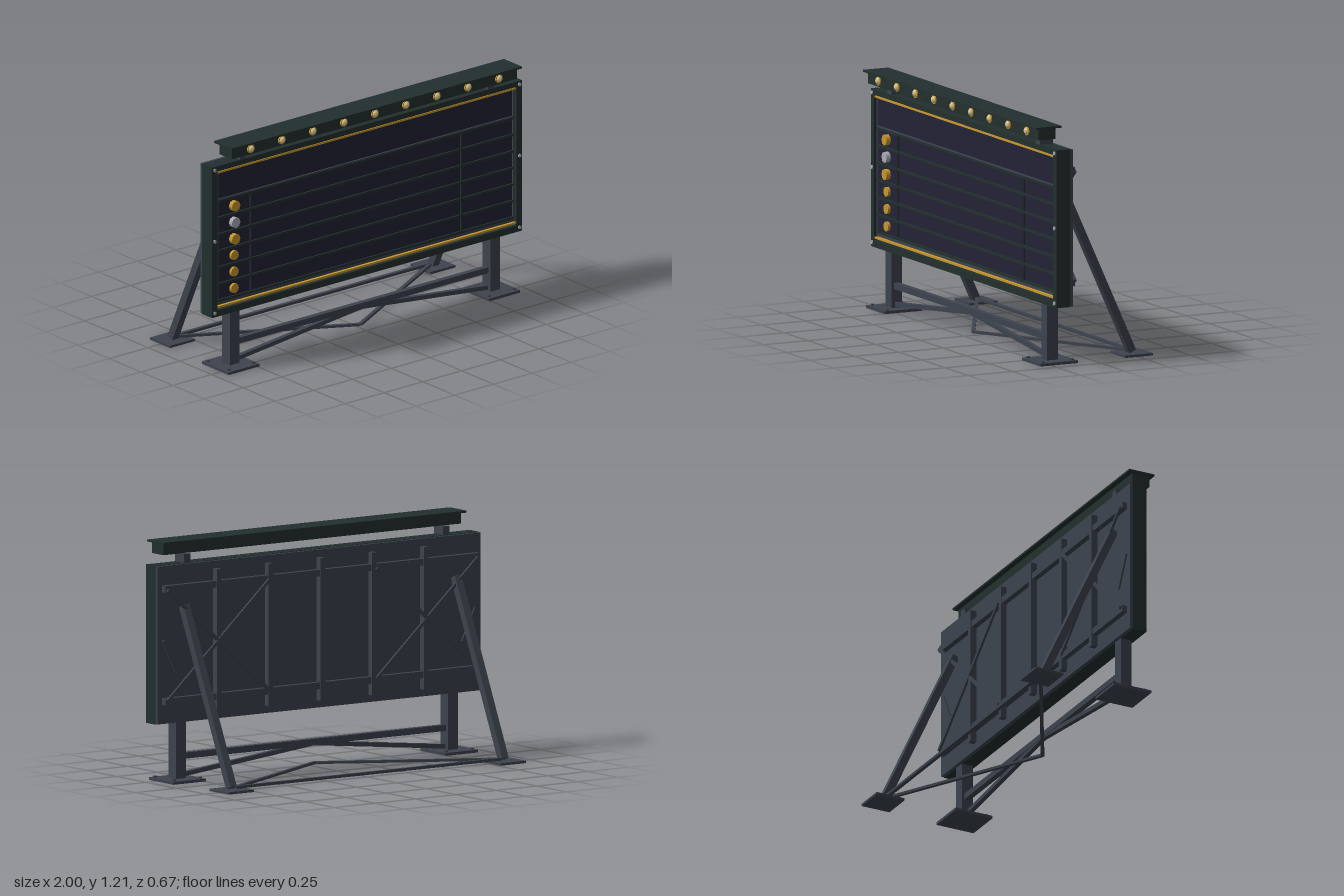
import * as THREE from 'three';

const mat = (name, color) => Object.assign(new THREE.MeshStandardMaterial({ color }), { name });

export function createModel() {
  const root = new THREE.Group();
  root.name = 'scoreboard';
  const green = mat('dark green paint', 0x22302e);
  const steel = mat('grey steel', 0x3d434e);
  const navy = mat('navy panel', 0x222236);
  const gold = mat('gold', 0xc8982c);
  const silver = mat('silver', 0xa9adb5);
  const cream = mat('bulb cream', 0xdcc88e);

  const add = (name, geo, m, x = 0, y = 0, z = 0) => {
    const mesh = new THREE.Mesh(geo, m);
    mesh.name = name;
    mesh.position.set(x, y, z);
    root.add(mesh);
    return mesh;
  };
  // box given by its limits on each axis
  const box = (name, m, x0, x1, y0, y1, z0, z1) =>
    add(name, new THREE.BoxGeometry(x1 - x0, y1 - y0, z1 - z0), m,
      (x0 + x1) / 2, (y0 + y1) / 2, (z0 + z1) / 2);
  // straight bar between two points
  const bar = (name, m, a, b, w, h) => {
    const p = new THREE.Vector3(...a), q = new THREE.Vector3(...b);
    const mesh = add(name, new THREE.BoxGeometry(w, h, p.distanceTo(q)), m);
    mesh.position.copy(p).add(q).multiplyScalar(0.5);
    mesh.lookAt(q);
    return mesh;
  };
  // disc facing +z
  const disc = (name, m, r, depth, sides, x, y, z) => {
    const geo = new THREE.CylinderGeometry(r, r, depth, sides).rotateX(Math.PI / 2);
    return add(name, geo, m, x, y, z);
  };

  // board: outer frame with opening, back sheet and face panel
  const outline = new THREE.Shape([[-1, 0.3], [1, 0.3], [1, 1.1], [-1, 1.1]].map(p => new THREE.Vector2(...p)));
  outline.holes.push(new THREE.Path([[-0.965, 0.335], [-0.965, 1.072], [0.965, 1.072], [0.965, 0.335]]
    .map(p => new THREE.Vector2(...p))));
  add('boardFrame', new THREE.ExtrudeGeometry(outline, { depth: 0.077, bevelEnabled: false }), green, 0, 0, 0.177);
  box('backSheet', steel, -0.998, 0.998, 0.302, 1.098, 0.16, 0.178);
  box('facePanel', navy, -0.966, 0.966, 0.334, 1.073, 0.178, 0.235);

  // face trim: gold lines, header border, row and column dividers
  for (const y of [0.348, 1.064]) box('goldLine', gold, -0.963, 0.963, y - 0.005, y + 0.005, 0.235, 0.252);
  box('lowerRail', steel, -0.955, 0.955, 0.356, 0.371, 0.235, 0.243);
  box('headerRail', steel, -0.955, 0.955, 0.909, 0.917, 0.235, 0.243);
  for (const s of [-1, 1])
    box('sideTrim', steel, s * 0.955 - 0.005, s * 0.955 + 0.005, 0.36, 1.055, 0.235, 0.243);
  for (let i = 0; i < 7; i++) {
    const y = 0.905 - i * 0.088;
    box('rowDivider', green, -0.95, 0.95, y - 0.006, y + 0.006, 0.235, 0.245);
  }
  for (const x of [-0.738, 0.62]) box('columnDivider', green, x - 0.004, x + 0.004, 0.377, 0.905, 0.235, 0.242);

  // rank medals
  for (let i = 0; i < 6; i++) {
    const top = i < 3;
    disc('rankMedal', i === 1 ? silver : gold, top ? 0.028 : 0.025, top ? 0.024 : 0.015, top ? 8 : 12,
      -0.848, 0.861 - i * 0.0878, top ? 0.247 : 0.242);
  }

  // canopy with its row of bulbs
  box('canopyBox', green, -0.92, 0.92, 1.143, 1.2, 0.217, 0.313);
  box('canopyRoof', green, -0.935, 0.935, 1.2, 1.21, 0.19, 0.333);
  for (let i = -4; i <= 4; i++) {
    disc('bulbSocket', gold, 0.023, 0.008, 10, i * 0.2, 1.173, 0.315);
    add('bulb', new THREE.SphereGeometry(0.02, 8, 6), cream, i * 0.2, 1.173, 0.313);
  }

  // rear ribs and rails
  for (const x of [-0.64, -0.32, 0, 0.32, 0.64])
    box('rearRib', steel, x - 0.014, x + 0.014, 0.34, 1.06, 0.128, 0.162);
  for (const y of [0.416, 0.984])
    box('rearRail', steel, -0.97, 0.97, y - 0.017, y + 0.017, 0.132, 0.162);

  // rear ground ties
  bar('rearTie', steel, [-0.82, 0.02, -0.256], [0.82, 0.02, -0.256], 0.02, 0.014);

  for (const s of [-1, 1]) {
    const x = s * 0.84;
    // canopy mount, post, strut and base plates
    box('canopyMount', steel, s * 0.8 - 0.02, s * 0.8 + 0.02, 1.09, 1.144, 0.178, 0.253);
    box('post', steel, x - 0.031, x + 0.031, 0.01, 0.302, 0.177, 0.238);
    bar('rearStrut', steel, [x, 0.018, -0.25], [x, 0.892, 0.15], 0.04, 0.04);
    box('frontBasePlate', steel, x - 0.1, x + 0.1, 0, 0.014, 0.102, 0.312);
    box('rearBasePlate', steel, x - 0.08, x + 0.08, 0, 0.012, -0.333, -0.175);
    for (const dx of [-0.08, 0.08]) for (const z of [0.125, 0.287])
      add('baseBolt', new THREE.CylinderGeometry(0.009, 0.009, 0.009, 6), steel, x + dx, 0.018, z);

    // ground brace and front diagonal
    bar('groundBrace', steel, [s * 0.82, 0.019, -0.25], [0, 0.019, 0.2], 0.018, 0.013);
    bar('frontDiagonal', steel, [s * 0.815, 0.03, 0.207], [0, 0.118, 0.207], 0.024, 0.022);

    // crossed bracing and short stiffener on the back
    bar('crossBrace', steel, [s * 0.96, 0.98, 0.127], [s * 0.33, 0.42, 0.127], 0.012, 0.016);
    bar('crossBrace', steel, [s * 0.96, 0.42, 0.126], [s * 0.33, 0.98, 0.126], 0.012, 0.016);
    bar('shortStiffener', steel, [s * 0.965, 0.722, 0.157], [s * 0.885, 0.558, 0.157], 0.012, 0.016);

    // frame bolts
    for (const y of [0.322, 0.703, 1.082]) disc('frameBolt', silver, 0.01, 0.01, 6, s * 0.983, y, 0.255);
  }
  box('frontCrossBeam', steel, -0.812, 0.812, 0.109, 0.14, 0.192, 0.222);

  return root;
}
